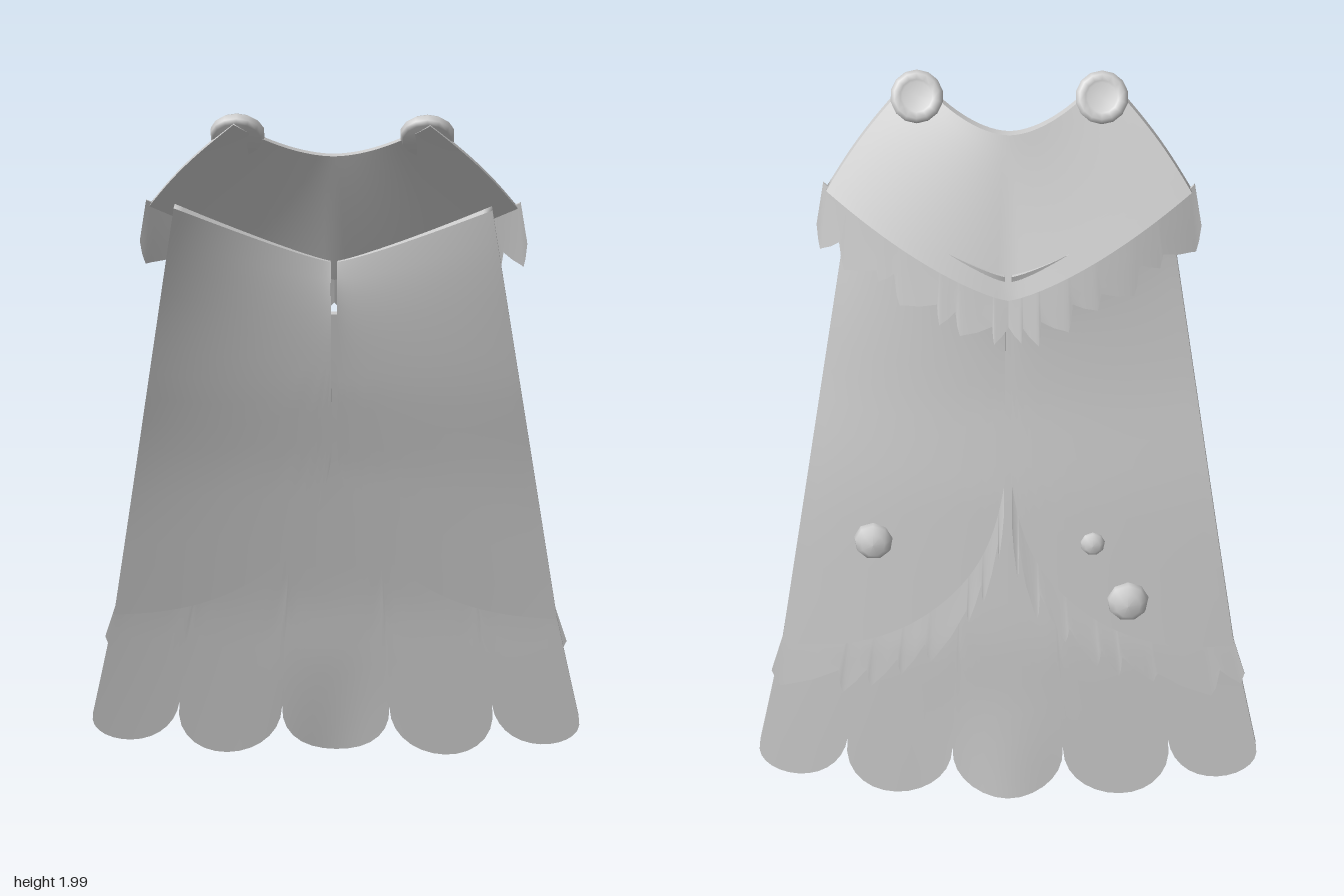
import * as THREE from 'three';

const mat = new THREE.MeshStandardMaterial({ color: 0xcccccc, side: THREE.DoubleSide });
const lerp = THREE.MathUtils.lerp;

// piecewise linear lookup through [key, value] pairs with rising keys
function lookup(table, k) {
  if (k <= table[0][0]) return table[0][1];
  for (let i = 1; i < table.length; i++) {
    const [a, va] = table[i - 1], [b, vb] = table[i];
    if (k <= b) return lerp(va, vb, (k - a) / (b - a));
  }
  return table[table.length - 1][1];
}

// leaning, slightly wrapped cloth: half width, centre line and forward curl of the edges
const halfWidth = y => 0.687 - 0.172 * y;
const centreZ = [[0, -0.222], [0.5, -0.17], [0.95, -0.09], [1.2, -0.035], [1.5, 0.018], [1.75, 0.06]];
const curlZ = [[0, 0.025], [0.5, 0.033], [0.8, 0.03], [1.1, 0.035], [1.45, 0.053], [1.75, 0.077]];
const clothZ = (x, y) => lookup(centreZ, y) + lookup(curlZ, y) * (x / halfWidth(y)) ** 2
  - 0.02 * Math.exp(-((x / 0.12) ** 2)) * Math.max(0, 1 - y / 0.35);

function seeded(seed) {
  return () => (seed = (seed * 16807) % 2147483647) / 2147483647;
}

// closed slab: columns at us (rising x), rows from top to bottom, point(u, v) gives [x, y, z]
function slab(name, us, rows, thick, point) {
  const pos = [], index = [], n = us.length, count = n * (rows + 1);
  const id = (i, j) => i * (rows + 1) + j;
  for (const s of [0.5, -0.5])
    for (const u of us)
      for (let j = 0; j <= rows; j++) {
        const [x, y, z] = point(u, j / rows);
        pos.push(x, y, z + s * thick);
      }
  for (let i = 0; i < n - 1; i++)
    for (let j = 0; j < rows; j++) {
      const a = id(i, j), b = id(i, j + 1), c = id(i + 1, j), d = id(i + 1, j + 1);
      index.push(a, b, c, c, b, d);
      index.push(a + count, c + count, b + count, c + count, d + count, b + count);
    }
  // rim, with its own vertices so that its edges stay sharp
  const loop = [];
  for (let j = 0; j < rows; j++) loop.push(id(0, j));
  for (let i = 0; i < n - 1; i++) loop.push(id(i, rows));
  for (let j = rows; j > 0; j--) loop.push(id(n - 1, j));
  for (let i = n - 1; i > 0; i--) loop.push(id(i, 0));
  const base = pos.length / 3;
  for (const k of loop)
    for (const q of [k, k + count]) pos.push(pos[q * 3], pos[q * 3 + 1], pos[q * 3 + 2]);
  for (let k = 0; k < loop.length; k++) {
    const p = base + 2 * k, q = base + 2 * ((k + 1) % loop.length);
    index.push(p, p + 1, q, q, p + 1, q + 1);
  }
  const geo = new THREE.BufferGeometry();
  geo.setAttribute('position', new THREE.Float32BufferAttribute(pos, 3));
  geo.setIndex(index);
  geo.computeVertexNormals();
  const mesh = new THREE.Mesh(geo, mat);
  mesh.name = name;
  return mesh;
}

const mirrored = (us, side) => side > 0 ? us : us.map(u => -u).reverse();
const steps = n => Array.from({ length: n + 1 }, (_, i) => i / n);

// ragged locks of uneven width between u = 0 and 1: columns and the hanging length at each
function locks(n, seed) {
  const rnd = seeded(seed), table = [];
  const widths = Array.from({ length: n }, () => 0.5 + rnd());
  const total = widths.reduce((a, b) => a + b);
  let s = 0;
  for (const width of widths) {
    const w = width / total, len = 0.75 + 0.3 * rnd();
    table.push([s, len * 0.6], [s + w * 0.4, len * 0.8], [s + w * 0.75, len * 0.94], [s + w * 0.88, len], [s + w * 0.95, len * 0.85]);
    s += w;
  }
  table.push([1, 0.6]);
  return table;
}

// lower edge of each upper panel
const hem = u => 0.49 + 0.36 * (1 - u) ** 2.7 + 0.14 * Math.exp(-18 * u);

// scalloped lower edge of the under cloth
const cusps = [[-1, 0.16], [-0.65, 0.19], [-0.222, 0.17], [0.222, 0.17], [0.65, 0.19], [1, 0.16]];
function underCloth() {
  const us = [], bottoms = [];
  for (let k = 0; k < 5; k++) {
    const [a, ya] = cusps[k], [b, yb] = cusps[k + 1];
    const low = k === 0 || k === 4 ? 0.06 : 0.012;
    for (let i = k ? 1 : 0; i <= 14; i++) {
      const t = (1 - Math.cos(Math.PI * i / 14)) / 2;
      const edge = lerp(ya, yb, t);
      us.push(lerp(a, b, t));
      bottoms.push([us[us.length - 1], edge - (edge - low) * Math.sin(Math.PI * i / 14) ** 0.9]);
    }
  }
  return slab('underCloth', us, 16, 0.02, (u, v) => {
    const y = lerp(1.42, lookup(bottoms, u), v);
    const flare = lookup([[0.12, 1.03], [0.5, 1], [0.6, 0.98]], y);
    const x = u * halfWidth(y) * flare;
    return [x, y, clothZ(x, y)];
  });
}

// two upper panels meeting at the centre seam, their tops tucked against the mantle
function panel(side) {
  const us = mirrored(steps(28).map(t => t ** 1.7), side);
  return slab(side > 0 ? 'leftPanel' : 'rightPanel', us, 16, 0.04, (u, v) => {
    const a = Math.abs(u);
    const y = lerp(1.56 + 0.18 * a ** 1.2, hem(a), v);
    const x = side * lerp(0.008, halfWidth(y), a);
    return [x, y, clothZ(x, y) - 0.002 - 0.034 * (1 - 0.6 * a) * (1 - v) ** 8];
  });
}

// ragged fringe hanging from under a panel's hem on the back
function panelFringe(side) {
  const table = locks(8, side > 0 ? 7103 : 11369);
  const us = mirrored(table.map(p => p[0]), side);
  return slab(side > 0 ? 'leftPanelFringe' : 'rightPanelFringe', us, 4, 0.006, (u, v) => {
    const s = Math.abs(u), a = s ** 1.4;
    const top = hem(a) + 0.02;
    const y = top - v * (0.02 + lookup(table, s) * lerp(0.2, 0.15, a));
    const x = side * (lerp(0.01, halfWidth(top), a) + 0.035 * v * a);
    return [x, y, clothZ(x, y) - 0.013 - 0.006 * v];
  });
}

// shoulder mantle with a scooped neck and pointed lower edge
function mantlePoint(u, v) {
  const a = Math.abs(u);
  const x = u * lerp(0.232, 0.45, v) + Math.sign(u) * a ** 3 * 0.014 * Math.sin(Math.PI * v);
  const y = lerp(1.875 + 0.108 * a ** 1.8, 1.5 + 0.235 * a ** 1.25, v);
  const z = lerp(0.13 + 0.104 * a ** 1.8, -0.032 + 0.13 * a ** 2, v);
  return [x, y, z];
}

// ragged fringe hanging from under the mantle
function mantleFringe(side) {
  const table = locks(7, side > 0 ? 2917 : 5779);
  const us = mirrored(table.map(p => p[0]), side);
  return slab(side > 0 ? 'leftMantleFringe' : 'rightMantleFringe', us, 3, 0.006, (u, v) => {
    const a = Math.abs(u), len = lookup(table, a) * v;
    const [x, y, z] = mantlePoint(u, 0.94);
    return [x + side * a * (0.02 * v + 0.018), y - 0.02 * v - 0.15 * len, z - 0.002 - 0.055 * len * (1 - 0.6 * a)];
  });
}

// turned part whose axis points out of the back of the cloth
function turned(name, profile, sides, x, y, z, radius, lean) {
  const geo = new THREE.LatheGeometry(profile.map(p => new THREE.Vector2(p[0], p[1])), sides);
  const mesh = new THREE.Mesh(geo, mat);
  mesh.name = name;
  mesh.scale.setScalar(radius);
  mesh.position.set(x, y, z);
  mesh.quaternion.setFromUnitVectors(new THREE.Vector3(0, 1, 0), new THREE.Vector3(0, lean, -1).normalize());
  return mesh;
}

export function createModel() {
  const cape = new THREE.Group();
  cape.name = 'cape';
  cape.add(underCloth());
  cape.add(slab('mantle', steps(32).map(t => 2 * t - 1), 12, 0.022, mantlePoint));

  // round clasps on the neck corners
  const clasp = [[0, -0.25], [0.9, -0.25], [1, -0.08], [1, 0.15], [0.85, 0.3], [0.62, 0.3], [0.55, 0.2], [0, 0.2]];
  for (const side of [-1, 1]) {
    cape.add(panel(side), panelFringe(side), mantleFringe(side));
    cape.add(turned(side > 0 ? 'leftClasp' : 'rightClasp', clasp, 14, side * 0.226, 1.942, 0.19, 0.065, 0.66));
  }

  // domed studs on the back
  const stud = [[0, -0.5], [0.9, -0.4], [1, 0], [0.92, 0.35], [0.6, 0.65], [0, 0.72]];
  for (const [x, y, r] of [[0.35, 0.81, 0.052], [-0.22, 0.81, 0.033], [-0.315, 0.64, 0.056]])
    cape.add(turned('stud', stud, 9, x, y, clothZ(x, y) - 0.018, r, 0.2));
  return cape;
}
